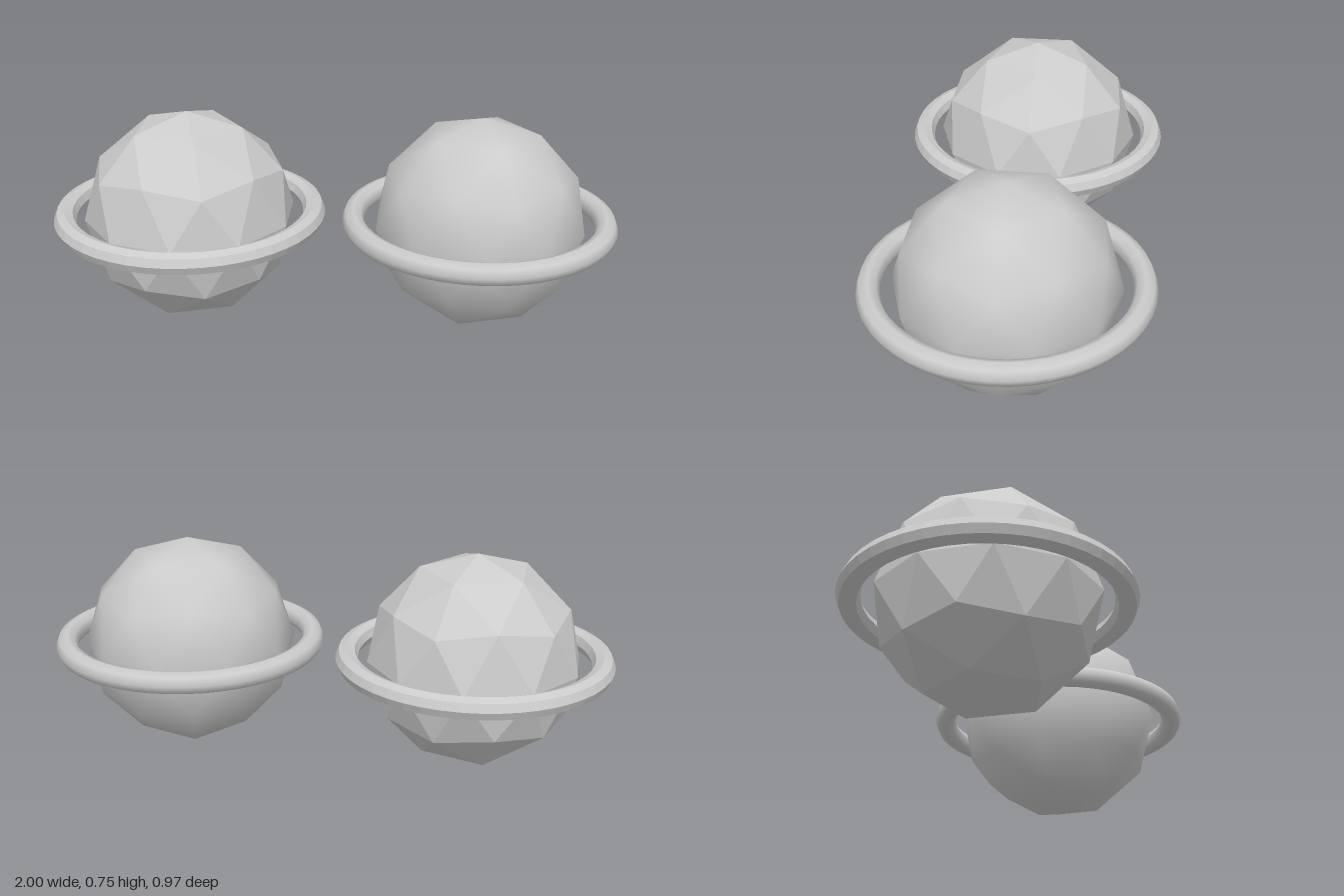
import * as THREE from 'three';

const RADIUS = 0.377;      // globe radius, also its centre height
const RING_RADIUS = 0.445; // ring centre line
const RING_TUBE = 0.0395;  // ring thickness radius
const OFFSET = 0.516;      // sideways distance of each planet

function createPlanet(name, x, flatShading) {
  const planet = new THREE.Group();
  planet.name = name;
  planet.position.set(x, RADIUS, 0);
  const material = new THREE.MeshStandardMaterial({ color: 0xcccccc, flatShading });

  // Globe: icosphere turned so that one of its corners points straight up
  const globeGeometry = new THREE.IcosahedronGeometry(RADIUS, 1);
  globeGeometry.rotateZ(-Math.atan(2 / (1 + Math.sqrt(5))));
  const globe = new THREE.Mesh(globeGeometry, material);
  globe.name = 'globe';

  // Ring: level torus with an eight-sided section
  const ringGeometry = new THREE.TorusGeometry(RING_RADIUS, RING_TUBE, 8, 48);
  ringGeometry.rotateX(Math.PI / 2);
  const ring = new THREE.Mesh(ringGeometry, material);
  ring.name = 'ring';

  planet.add(globe, ring);
  return planet;
}

export function createModel() {
  const model = new THREE.Group();
  model.name = 'ringedPlanets';
  model.add(createPlanet('facetedPlanet', -OFFSET, true));
  model.add(createPlanet('smoothPlanet', OFFSET, false));
  return model;
}
